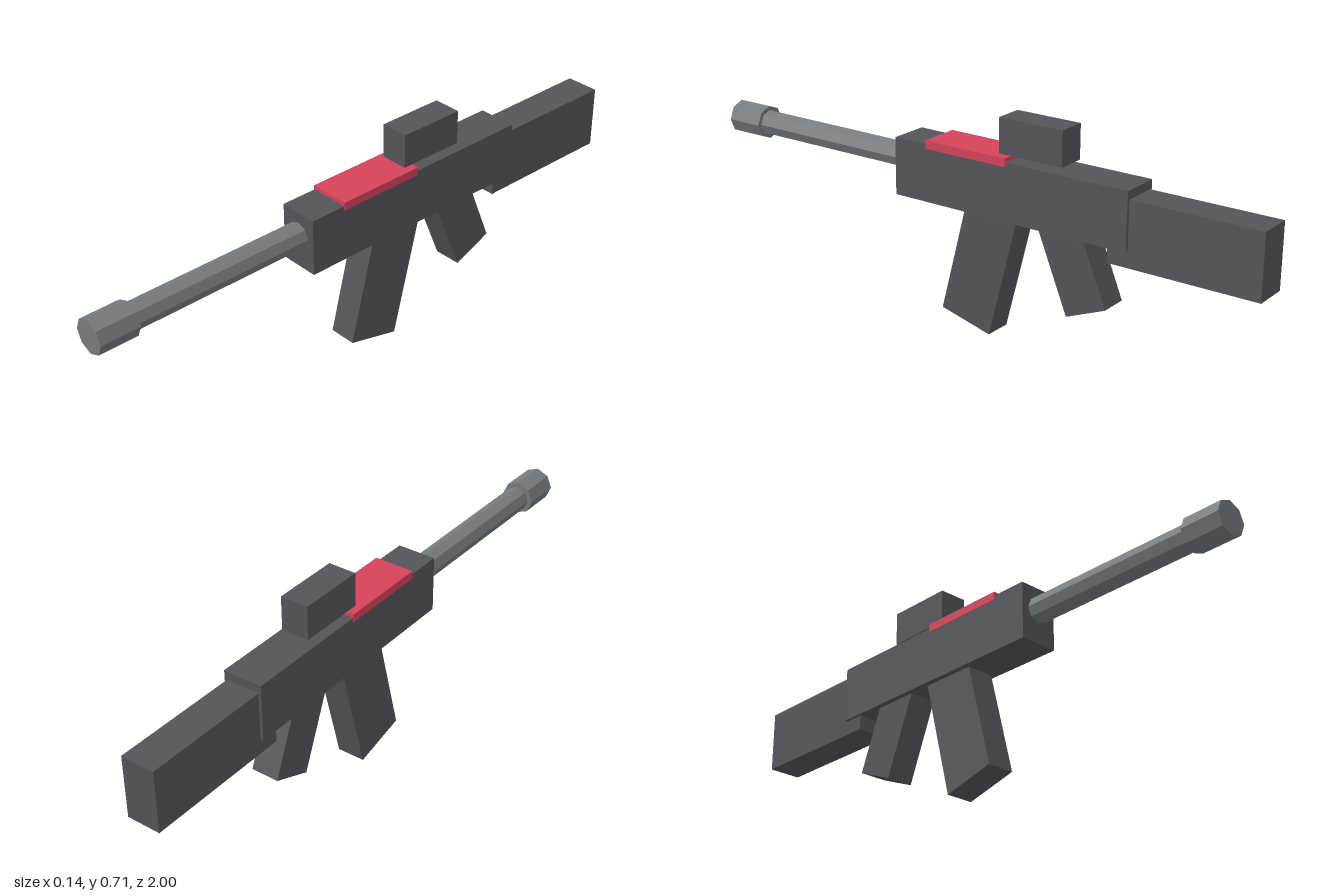
import * as THREE from 'three';

const material = (color) => new THREE.MeshStandardMaterial({ color, flatShading: true });

export function createModel() {
  const group = new THREE.Group();
  const dark = material(0x55535b), steel = material(0x747a7e), red = material(0xd5425a);

  const add = (name, geometry, mat) => {
    const mesh = new THREE.Mesh(geometry, mat);
    mesh.name = name;
    group.add(mesh);
    return mesh;
  };

  // Axis-aligned block given by width and its y and z ranges
  const block = (name, width, [y0, y1], [z0, z1], mat) =>
    add(name, new THREE.BoxGeometry(width, y1 - y0, z1 - z0), mat)
      .position.set(0, (y0 + y1) / 2, (z0 + z1) / 2);

  // Eight-sided rod along z
  const rod = (name, radius, z0, z1) =>
    add(name, new THREE.CylinderGeometry(radius, radius, z1 - z0, 8).rotateX(Math.PI / 2), steel)
      .position.set(0, 0.506, (z0 + z1) / 2);

  // Tilted block hanging below the receiver, placed by the centre of its bottom face
  const hanging = (name, length, depth, y, z, tilt) => {
    const mesh = add(name, new THREE.BoxGeometry(0.094, length, depth).translate(0, length / 2, 0), dark);
    mesh.position.set(0, y, z);
    mesh.rotation.x = tilt;
  };

  block('receiver', 0.131, [0.395, 0.582], [-0.578, 0.265], dark);
  block('stock', 0.112, [0.347, 0.554], [-1, -0.51], dark);
  block('sight', 0.094, [0.599, 0.711], [-0.344, -0.119], dark);
  block('topPlate', 0.135, [0.568, 0.595], [-0.155, 0.144], red);

  rod('barrel', 0.042, 0.2, 0.9);
  rod('muzzle', 0.056, 0.87, 1);

  hanging('magazine', 0.43, 0.187, 0.0235, 0.007, -0.25);
  hanging('grip', 0.28, 0.146, 0.164, -0.436, 0.39);

  return group;
}
